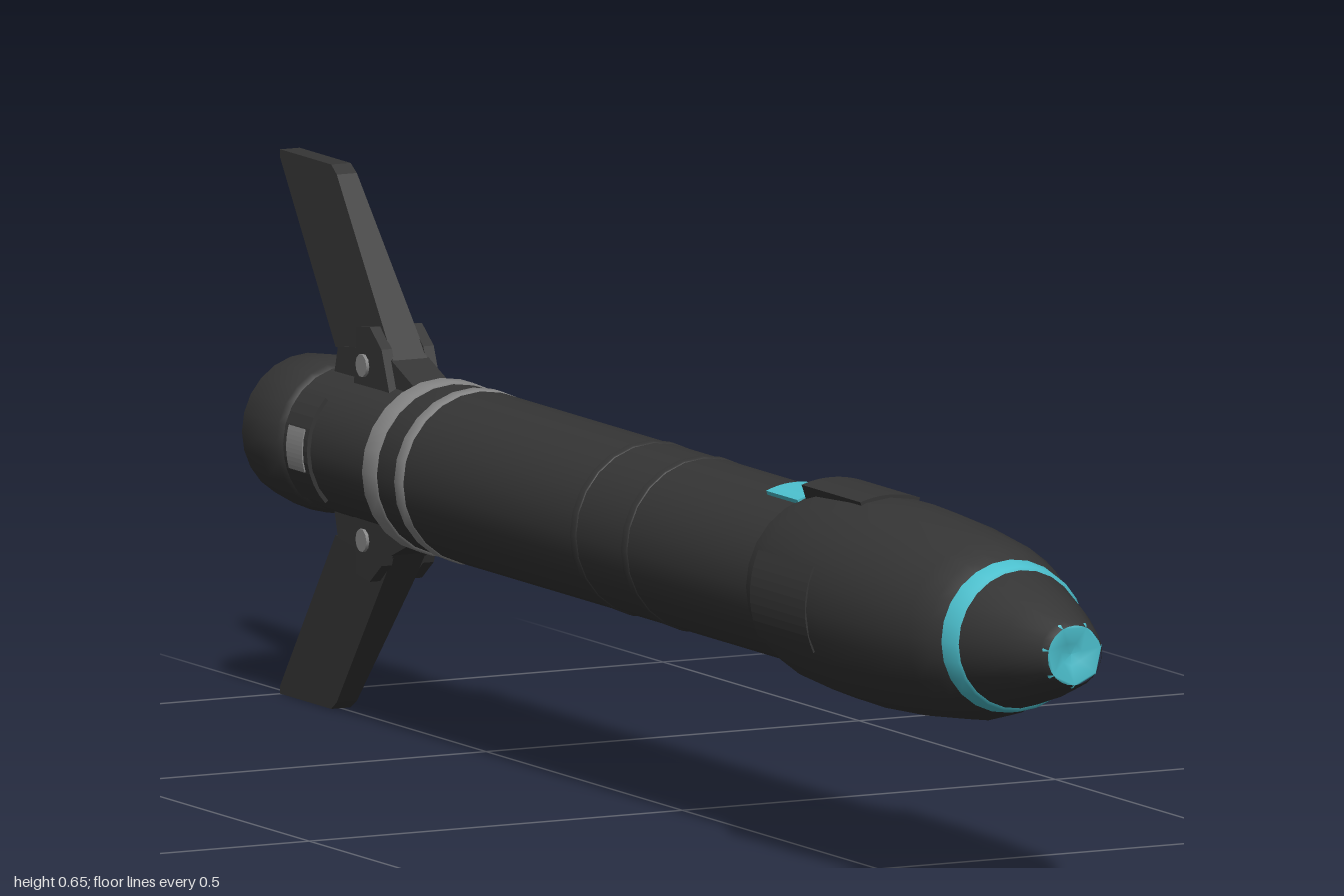
import * as THREE from 'three';

const CY = 0.327; // height of the body axis

export function createModel() {
  const group = new THREE.Group();
  const body = new THREE.Group();
  body.name = 'missile';
  body.position.y = CY;
  group.add(body);

  const mat = (name, color) => {
    const m = new THREE.MeshStandardMaterial({ color });
    m.name = name;
    return m;
  };
  const dark = mat('charcoal', 0x353535);
  const grey = mat('band grey', 0x858585);
  const cyan = mat('sensor cyan', 0x4cc0ce);

  const add = (name, geometry, material, parent = body) => {
    const mesh = new THREE.Mesh(geometry, material);
    mesh.name = name;
    parent.add(mesh);
    return mesh;
  };
  // Surface of revolution about z; points are [radius, z] from back to front
  const turned = (name, points, material, sides = 24) =>
    add(name, new THREE.LatheGeometry(points.map(([r, z]) => new THREE.Vector2(r, z)), sides)
      .rotateX(Math.PI / 2), material);
  // Thin curved patch wrapped on the body; angle 0 is the top
  const patch = (name, r0, r1, z0, z1, angle, spread, material) => {
    const shape = new THREE.Shape();
    const a = Math.PI / 2 - angle;
    shape.absarc(0, 0, r1, a - spread, a + spread, false);
    shape.absarc(0, 0, r0, a + spread, a - spread, true);
    const g = new THREE.ExtrudeGeometry(shape, { depth: z1 - z0, bevelEnabled: false, curveSegments: 5 });
    return add(name, g.translate(0, 0, z0), material);
  };

  // Main tube and swollen front section
  turned('tube', [[0.086, -0.635], [0.102, -0.62], [0.104, -0.5], [0.104, 0.36]], dark);
  turned('frontSection', [[0.104, 0.36], [0.117, 0.41], [0.123, 0.5], [0.124, 0.58], [0.119, 0.68],
    [0.109, 0.78], [0.1, 0.815], [0.09, 0.835]], dark);
  turned('noseCone', [[0.087, 0.835], [0.083, 0.862], [0.062, 0.935], [0.042, 0.99], [0.036, 1]], dark);
  turned('sensorRing', [[0.092, 0.835], [0.087, 0.861], [0.08, 0.863]], cyan);
  turned('noseLens', [[0.041, 0.993], [0.036, 1], [0.014, 0.992], [0, 0.99]], cyan, 7);

  // Seam rings along the tube
  for (const z of [0.05, -0.08])
    turned('seamRing', [[0.1035, z - 0.008], [0.1055, z - 0.006], [0.1055, z + 0.006], [0.1035, z + 0.008]], dark);

  // Light bands ahead of the tail
  for (const [z0, z1] of [[-0.617, -0.583], [-0.535, -0.513]])
    turned('lightBand', [[0.1, z0], [0.1055, z0 + 0.001], [0.1055, z1 - 0.001], [0.1, z1]], grey);

  // Tail section with a stepped nozzle collar and recessed end
  turned('tailSection', [[0.088, -0.85], [0.089, -0.7], [0.088, -0.62]], dark);
  turned('nozzleCollar', [[0, -0.945], [0.045, -0.945], [0.055, -0.965], [0.078, -0.97], [0.088, -0.955],
    [0.094, -0.9], [0.092, -0.86], [0.084, -0.85]], dark);

  // Top hatch with its cyan sensor window
  patch('topHatch', 0.1, 0.127, 0.38, 0.53, 0, 0.32, dark);
  patch('topWindow', 0.1, 0.1085, 0.29, 0.37, 0, 0.38, cyan);

  // Side panels, tail cheeks and light tail plates, on both flanks
  for (const s of [1, -1]) {
    patch('sidePanel', 0.1, 0.125, 0.41, 0.55, s * Math.PI / 2, 0.43, dark);
    patch('tailCheek', 0.08, 0.093, -0.84, -0.78, s * Math.PI / 2, 0.75, dark);
    patch('tailPlate', 0.088, 0.0945, -0.83, -0.79, s * Math.PI / 2, 0.28, grey);
  }

  // Swept, tapering fins above and below, each on a hinge block
  const outline = (pts) => new THREE.Shape(pts.map(([z, y]) => new THREE.Vector2(z, y)));
  const slab = (pts, width) => new THREE.ExtrudeGeometry(outline(pts), { depth: width, bevelEnabled: false })
    .translate(0, 0, -width / 2).rotateY(-Math.PI / 2);
  for (const turn of [0, Math.PI]) {
    const fin = new THREE.Group();
    fin.name = turn ? 'lowerFin' : 'upperFin';
    fin.rotation.z = turn;
    body.add(fin);

    const blade = slab([[-0.84, 0.113], [-0.992, 0.318], [-0.992, 0.327], [-0.87, 0.327], [-0.855, 0.317],
      [-0.69, 0.113]], 1);
    const p = blade.attributes.position;
    for (let i = 0; i < p.count; i++) {
      const t = (p.getY(i) - 0.113) / 0.214;
      p.setX(i, p.getX(i) * (0.046 - 0.02 * t));
      if (p.getZ(i) < -0.99) p.setZ(i, -1);
    }
    blade.computeVertexNormals();
    add('blade', blade, dark, fin);

    add('hingeRamp', slab([[-0.84, 0.08], [-0.83, 0.115], [-0.72, 0.128], [-0.64, 0.095], [-0.64, 0.08]], 0.05), dark, fin);
    for (const s of [1, -1]) {
      const lug = slab([[-0.77, 0.08], [-0.765, 0.148], [-0.73, 0.153], [-0.7, 0.13], [-0.68, 0.08]], 0.014);
      add('hingeLug', lug.translate(s * 0.028, 0, 0), dark, fin);
      // Light hinge pin cap behind each lug
      const cap = new THREE.CylinderGeometry(0.014, 0.014, 0.006, 10).rotateZ(Math.PI / 2);
      add('hingeCap', cap.translate(s * 0.036, 0.105, -0.745), grey, fin);
    }
  }
  return group;
}
